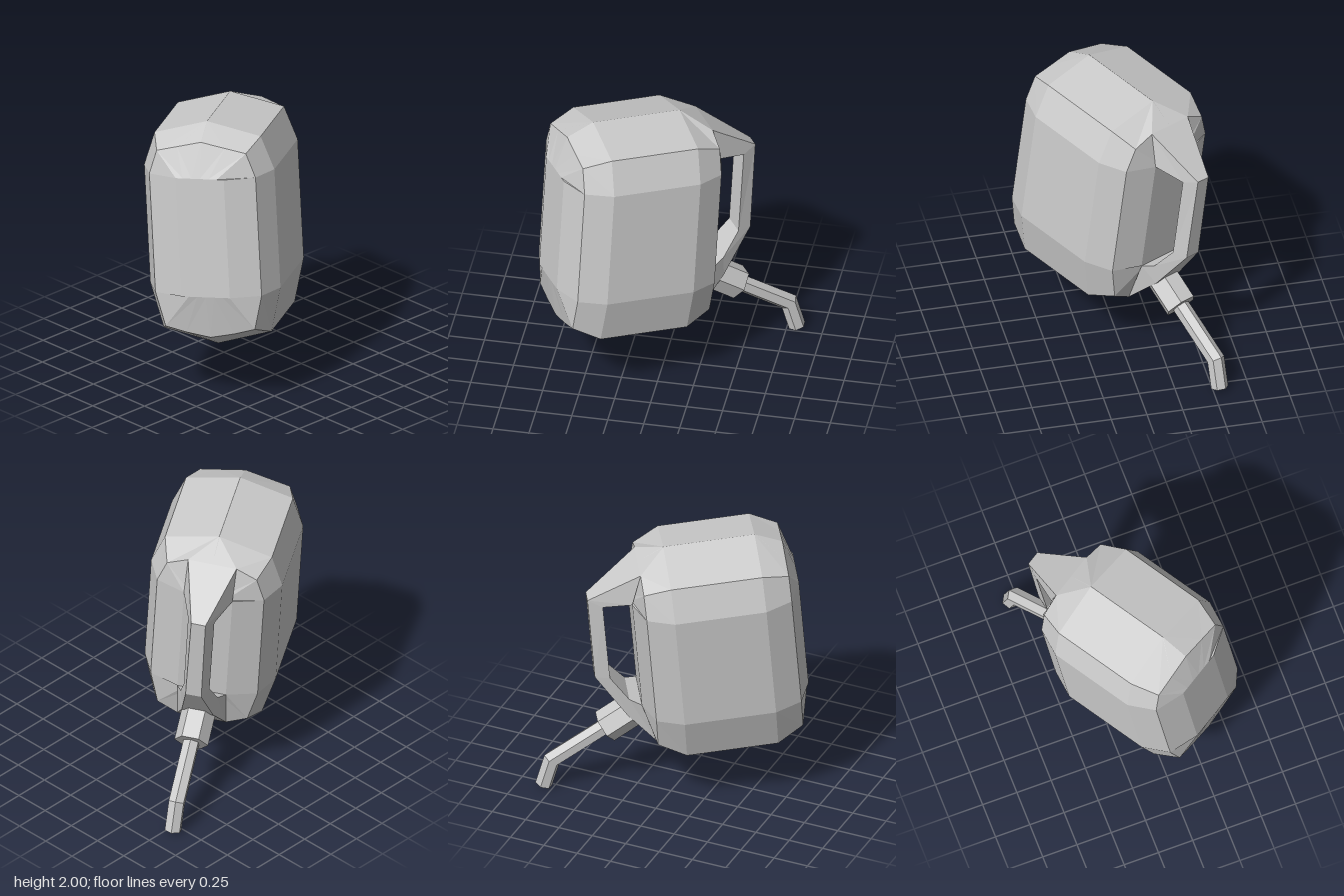
import * as THREE from 'three';

const V = (x, y, z) => new THREE.Vector3(x, y, z);
const material = new THREE.MeshStandardMaterial({ color: 0xcccccc, flatShading: true });

// Skin a list of closed rings and cap both ends
function loft(name, rings) {
  const pos = [];
  const tri = (...pts) => pts.forEach((p) => pos.push(p.x, p.y, p.z));
  const n = rings[0].length;
  for (let i = 0; i < rings.length - 1; i++) {
    for (let j = 0; j < n; j++) {
      const k = (j + 1) % n;
      const a = rings[i][j], b = rings[i][k], c = rings[i + 1][k], d = rings[i + 1][j];
      tri(a, b, c);
      tri(a, c, d);
    }
  }
  const first = rings[0], last = rings[rings.length - 1];
  for (let j = 1; j < n - 1; j++) {
    tri(first[0], first[j + 1], first[j]);
    tri(last[0], last[j], last[j + 1]);
  }
  const geometry = new THREE.BufferGeometry();
  geometry.setAttribute('position', new THREE.Float32BufferAttribute(pos, 3));
  geometry.computeVertexNormals();
  const mesh = new THREE.Mesh(geometry, material);
  mesh.name = name;
  return mesh;
}

// Full section ring from its half profile of [half width, height], top to bottom
function section(x, half) {
  const other = half.slice(1, -1).reverse();
  return [...half.map(([z, y]) => V(x, y, z)), ...other.map(([z, y]) => V(x, y, -z))];
}

// Six-sided pipe along a path in the middle plane, mitred at its bends
function hexPipe(name, points, radius, turn) {
  const path = points.map(([x, y]) => V(x, y, 0));
  const side = V(0, 0, 1);
  const rings = path.map((p, i) => {
    const before = p.clone().sub(path[Math.max(i - 1, 0)]).normalize();
    const after = path[Math.min(i + 1, path.length - 1)].clone().sub(p).normalize();
    const dir = before.clone().add(after).normalize();
    const stretch = 1 / Math.max(dir.dot(before), dir.dot(after));
    const up = dir.clone().cross(side);
    return Array.from({ length: 6 }, (_, k) => {
      const t = turn + (k * Math.PI) / 3;
      return p.clone()
        .addScaledVector(side, radius * Math.cos(t))
        .addScaledVector(up, radius * stretch * Math.sin(t));
    });
  });
  return loft(name, rings);
}

export function createModel() {
  const can = new THREE.Group();
  can.name = 'wateringCan';

  // Tank: gabled top and bottom, narrowing at both ends to a raised flat panel
  const panel = [[0, 0.47], [0.06, 0.47], [0.12, 0.47], [0.17, 0.47],
    [0.17, -0.385], [0.12, -0.385], [0.06, -0.385], [0, -0.385]];
  const middle = [[0, 0.8], [0.003, 0.799], [0.375, 0.705], [0.46, 0.47],
    [0.46, -0.385], [0.38, -0.705], [0.003, -0.804], [0, -0.805]];
  const rearEnd = [[0, 0.71], [0.17, 0.672], [0.315, 0.64], [0.375, 0.47],
    [0.375, -0.385], [0.315, -0.63], [0.17, -0.668], [0, -0.7]];
  const handleEnd = [[0, 0.705], [0.17, 0.705], [0.315, 0.64], [0.375, 0.47],
    [0.375, -0.385], [0.315, -0.63], [0.17, -0.7], [0, -0.7]];
  can.add(loft('tank', [
    section(-0.575, panel), section(-0.5, rearEnd), section(-0.315, middle),
    section(0.315, middle), section(0.5, handleEnd), section(0.575, panel),
  ]));

  // Handle: [outer x, y, half width], [inner x, y, half width], flared where it meets the tank
  const grip = [
    [[0.5, 0.705, 0.17], [0.575, 0.47, 0.17]],
    [[0.87, 0.47, 0.05], [0.772, 0.426, 0.092]],
    [[0.87, -0.18, 0.055], [0.77, -0.18, 0.09]],
    [[0.675, -0.5, 0.11], [0.655, -0.352, 0.13]],
    [[0.5, -0.7, 0.17], [0.575, -0.385, 0.17]],
  ];
  can.add(loft('handle', grip.map(([[ox, oy, ow], [ix, iy, iw]]) => [
    V(ox, oy, -ow), V(ox, oy, ow), V(ix, iy, iw), V(ix, iy, -iw),
  ])));

  // Spout with its collar
  can.add(hexPipe('spoutCollar', [[0.615, -0.52], [0.83, -0.645]], 0.118, 0));
  can.add(hexPipe('spout', [[0.76, -0.604], [1.213, -0.862], [1.284, -1.06]], 0.06, Math.PI / 6));

  // Turn and tip the whole can so the spout touches the ground
  const up = V(0.036, 0.994, -0.107).normalize();
  const across = V(0.853, -0.08, -0.515).cross(up).normalize();
  const along = up.clone().cross(across);
  can.quaternion.setFromRotationMatrix(new THREE.Matrix4().makeBasis(along, up, across));
  can.position.set(-0.239, 1.174, -0.001);

  const model = new THREE.Group();
  model.add(can);
  return model;
}
